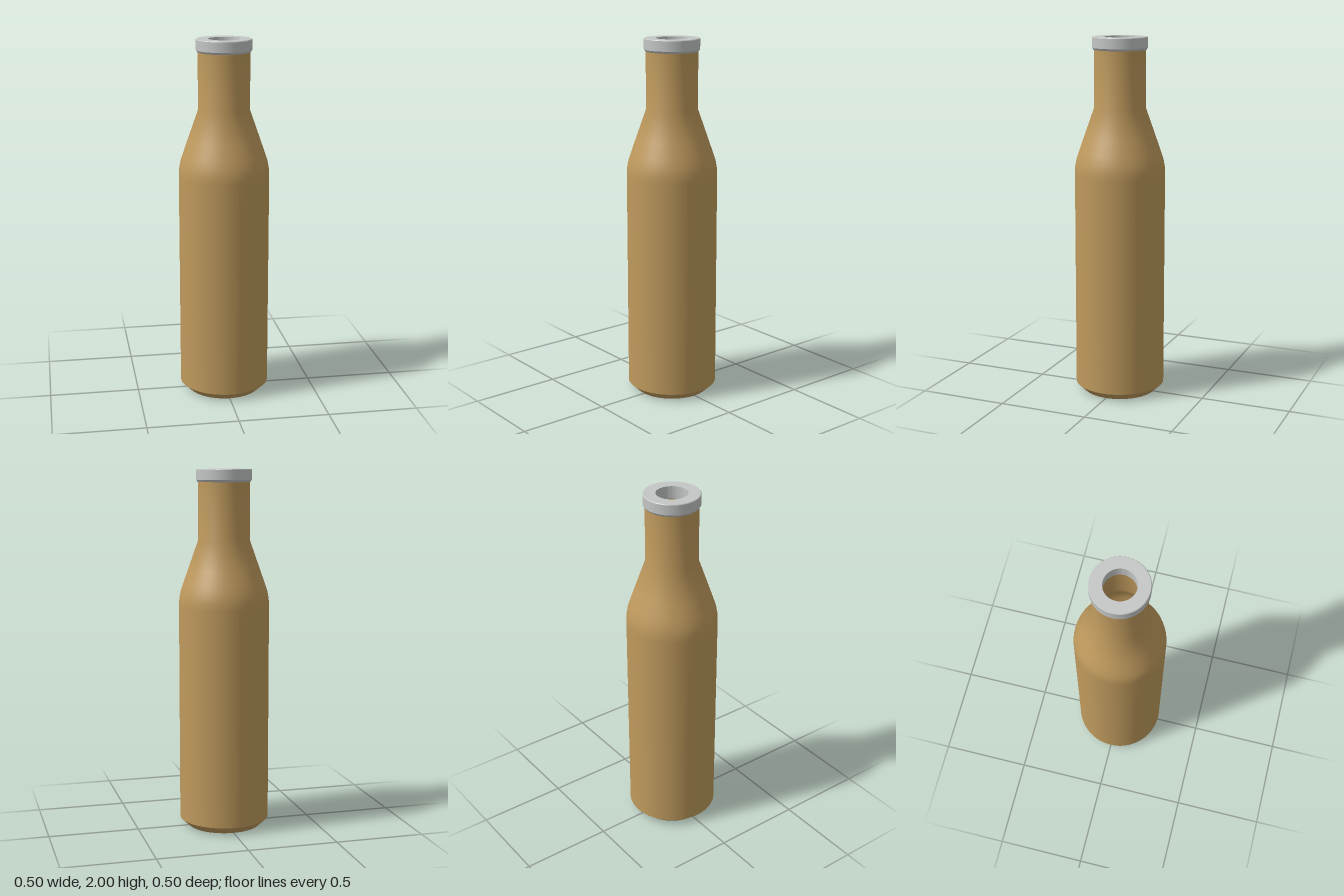
import * as THREE from 'three';
import { toCreasedNormals } from 'three/addons/utils/BufferGeometryUtils.js';

const SEGMENTS = 64;

// Turn a profile of [radius, height] pairs around the y axis
function turned(name, profile, material, crease) {
  const points = profile.map(([r, y]) => new THREE.Vector2(r, y));
  let geometry = new THREE.LatheGeometry(points, SEGMENTS);
  if (crease) geometry = toCreasedNormals(geometry, crease);
  const mesh = new THREE.Mesh(geometry, material);
  mesh.name = name;
  return mesh;
}

export function createModel() {
  const amber = new THREE.MeshStandardMaterial({ color: 0xbf9a5d, side: THREE.DoubleSide });
  amber.name = 'amber';
  const grey = new THREE.MeshStandardMaterial({ color: 0xc4c6c6, side: THREE.DoubleSide });
  grey.name = 'light grey';

  const bottle = new THREE.Group();
  bottle.name = 'bottle';

  // Chamfered foot, open underneath
  bottle.add(turned('foot', [[0.204, 0], [0.25, 0.043]], amber));

  // Straight body, rounded shoulder and neck in one smooth shell
  bottle.add(turned('body', [
    [0.25, 0.043], [0.25, 1.25], [0.248, 1.29], [0.241, 1.33],
    [0.226, 1.375], [0.2, 1.45], [0.142, 1.615], [0.142, 1.935],
  ], amber));

  // Mouth ring with a bevelled lower lip and a hole through it
  bottle.add(turned('mouthRing', [
    [0.085, 1.93], [0.144, 1.93], [0.152, 1.941],
    [0.152, 1.996], [0.149, 2], [0.085, 2], [0.085, 1.93],
  ], grey, 0.5));

  return bottle;
}
